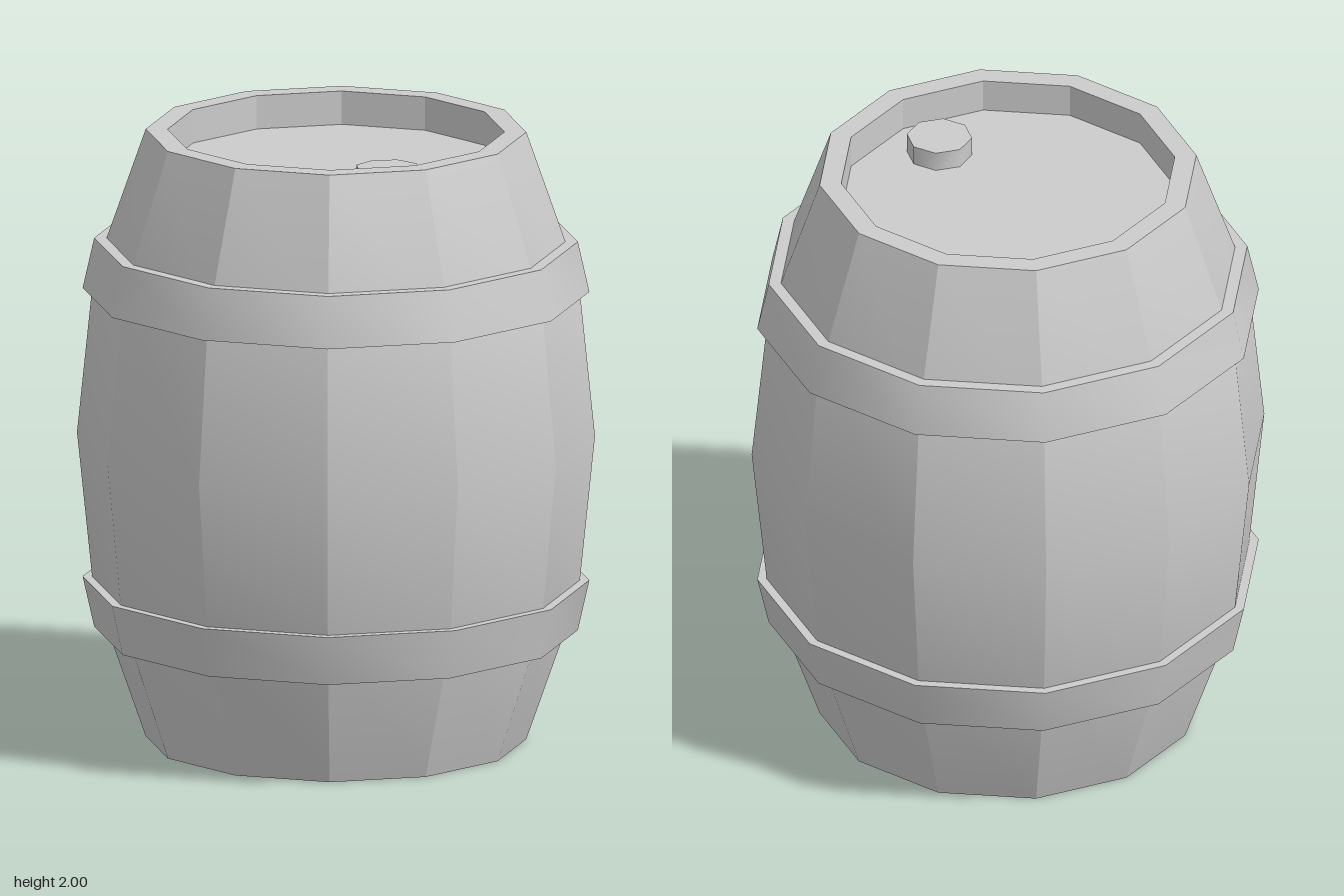
import * as THREE from 'three';
import { toCreasedNormals } from 'three/addons/utils/BufferGeometryUtils.js';

const SIDES = 12;
const material = new THREE.MeshStandardMaterial({ color: 0xcccccc });

// Revolve a [radius, height] profile, keeping edges sharper than the crease angle
function lathe(name, profile, creaseDegrees) {
  const points = profile.map(([r, y]) => new THREE.Vector2(r, y));
  const geometry = toCreasedNormals(
    new THREE.LatheGeometry(points, SIDES),
    THREE.MathUtils.degToRad(creaseDegrees)
  );
  const mesh = new THREE.Mesh(geometry, material);
  mesh.name = name;
  return mesh;
}

// Mirror a profile about mid height, keeping it running from bottom to top
const flip = (profile) => profile.map(([r, y]) => [r, 2 - y]).reverse();

export function createModel() {
  const barrel = new THREE.Group();
  barrel.name = 'barrel';

  // Staves with a recessed head at each end
  const lowerHalf = [[0, 0.11], [0.54, 0.11], [0.54, 0], [0.61, 0], [0.777, 0.48]];
  barrel.add(lathe('body', [...lowerHalf, [0.83, 1], ...flip(lowerHalf)], 25));

  // Hoops, smooth around and sharp at their rims
  const hoop = [[0.72, 1.475], [0.812, 1.475], [0.775, 1.64], [0.72, 1.64]];
  barrel.add(lathe('upperHoop', hoop, 40));
  barrel.add(lathe('lowerHoop', flip(hoop), 40));

  // Stopper on the top head
  const stopper = new THREE.Mesh(
    toCreasedNormals(new THREE.CylinderGeometry(0.105, 0.105, 0.08, 8), Math.PI / 3),
    material
  );
  stopper.name = 'stopper';
  stopper.position.set(0, 1.915, 0.353);
  barrel.add(stopper);

  return barrel;
}
